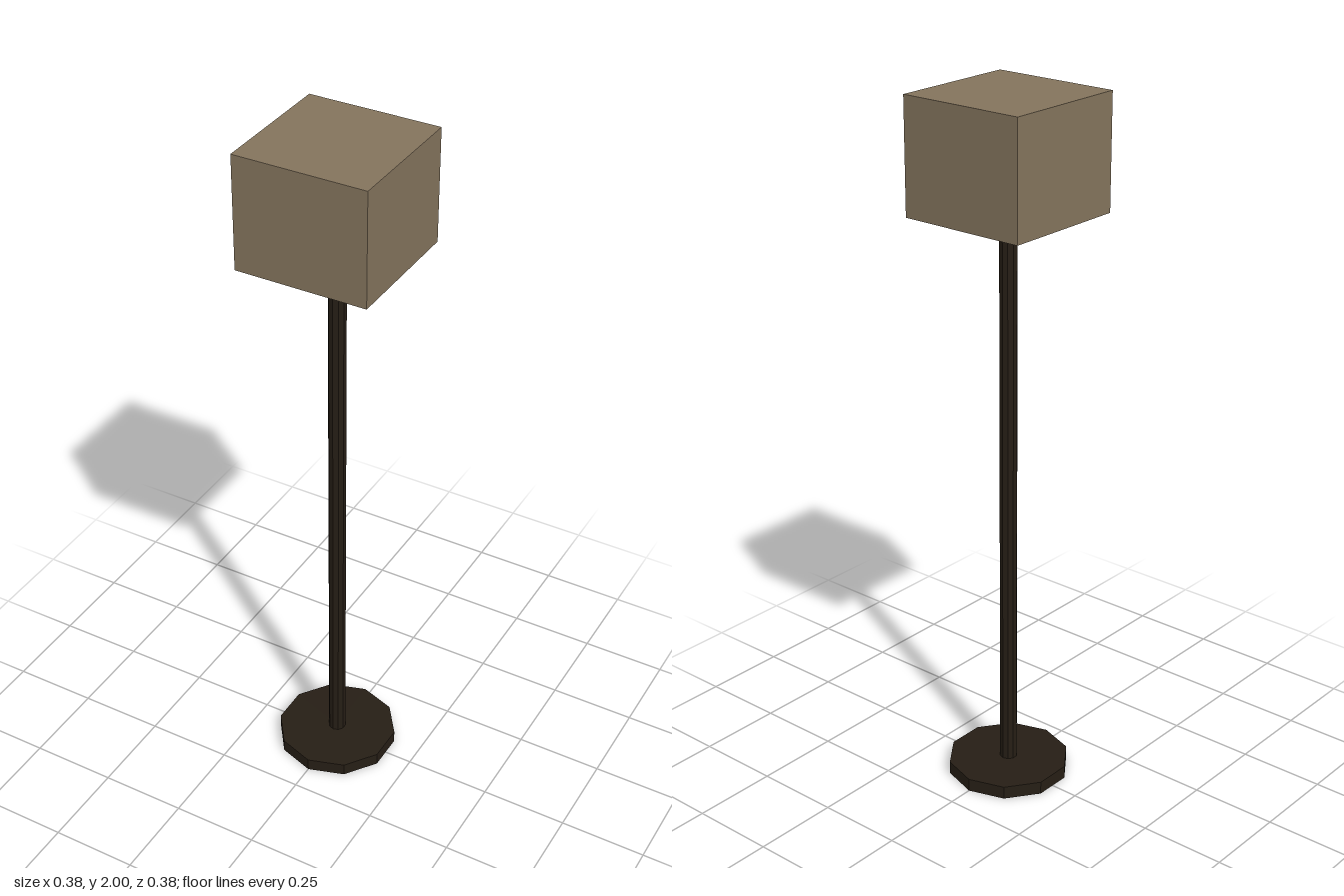
import * as THREE from 'three';

export function createModel() {
  const lamp = new THREE.Group();
  lamp.name = 'floorLamp';

  const dark = new THREE.MeshStandardMaterial({ color: 0x261e15, flatShading: true });
  const tan = new THREE.MeshStandardMaterial({ color: 0x84745d, flatShading: true });

  // Adds a part whose underside sits at the given height
  const addPart = (name, geometry, material, bottom, height) => {
    const mesh = new THREE.Mesh(geometry, material);
    mesh.name = name;
    mesh.position.y = bottom + height / 2;
    lamp.add(mesh);
  };

  const sides = 10;
  const baseHeight = 0.038;
  const shadeBottom = 1.677;
  const shadeHeight = 2 - shadeBottom;
  const poleHeight = shadeBottom - baseHeight;

  // Ten-sided foot, slim pole and square shade
  addPart('base', new THREE.CylinderGeometry(0.176, 0.176, baseHeight, sides), dark, 0, baseHeight);
  addPart('pole', new THREE.CylinderGeometry(0.025, 0.025, poleHeight, sides), dark, baseHeight, poleHeight);
  addPart('shade', new THREE.BoxGeometry(0.377, shadeHeight, 0.377), tan, shadeBottom, shadeHeight);

  return lamp;
}
